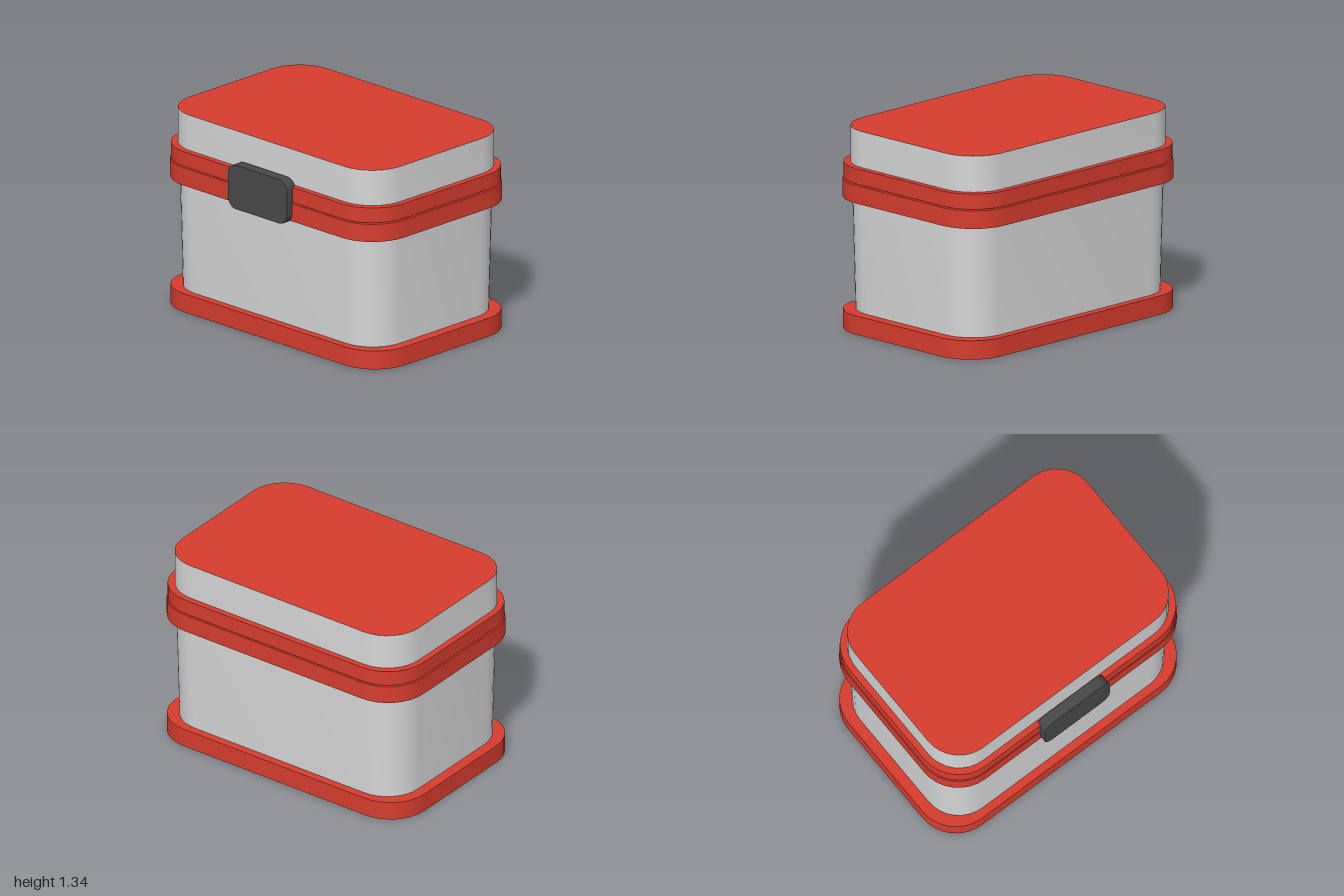
import * as THREE from 'three';
import { toCreasedNormals } from 'three/addons/utils/BufferGeometryUtils.js';

// Rounded rectangle outline centred on the origin
function roundedRect(hw, hh, r) {
  const s = new THREE.Shape();
  s.absarc(hw - r, hh - r, r, 0, Math.PI / 2);
  s.absarc(r - hw, hh - r, r, Math.PI / 2, Math.PI);
  s.absarc(r - hw, r - hh, r, Math.PI, Math.PI * 1.5);
  s.absarc(hw - r, r - hh, r, Math.PI * 1.5, Math.PI * 2);
  s.closePath();
  return s;
}

// Upright rounded slab from y0 to y1; the bottom can be narrower than the top
function slab(hx, hz, r, y0, y1, taperX = 1, taperZ = 1) {
  const g = new THREE.ExtrudeGeometry(roundedRect(hx, hz, r), {
    depth: y1 - y0, bevelEnabled: false, curveSegments: 4,
  });
  g.rotateX(-Math.PI / 2);
  const p = g.attributes.position;
  for (let i = 0; i < p.count; i++) {
    if (p.getY(i) < 1e-4) {
      p.setX(i, p.getX(i) * taperX);
      p.setZ(i, p.getZ(i) * taperZ);
    }
  }
  g.translate(0, y0, 0);
  return toCreasedNormals(g, 0.6);
}

export function createModel() {
  const red = new THREE.MeshStandardMaterial({ color: 0xd63c2e });
  red.name = 'red plastic';
  const grey = new THREE.MeshStandardMaterial({ color: 0xd6d6d6 });
  grey.name = 'light grey plastic';
  const dark = new THREE.MeshStandardMaterial({ color: 0x484848 });
  dark.name = 'dark grey plastic';

  const model = new THREE.Group();
  model.name = 'storageBox';
  const add = (name, geometry, material, z = -0.023) => {
    const mesh = new THREE.Mesh(geometry, material);
    mesh.name = name;
    mesh.position.z = z;
    model.add(mesh);
  };

  // Foot, tapered body and the two rims, with a thin seam under the lid
  add('base', slab(1, 0.657, 0.27, 0, 0.125), red);
  add('body', slab(0.945, 0.615, 0.25, 0.125, 0.87, 0.982, 0.98), grey);
  add('bodyRim', slab(0.995, 0.673, 0.28, 0.87, 0.99), red);
  add('lidRim', slab(0.99, 0.67, 0.28, 0.998, 1.1), red);

  // Raised lid with red top face and grey walls
  add('lid', slab(0.948, 0.629, 0.25, 1.1, 1.34), [red, grey]);

  // Front latch
  const latch = new THREE.ExtrudeGeometry(roundedRect(0.265, 0.15, 0.07), {
    depth: 0.075, bevelEnabled: false, curveSegments: 6,
  });
  latch.translate(0, 1, 0);
  add('latch', toCreasedNormals(latch, 0.6), dark, 0.622);

  return model;
}
